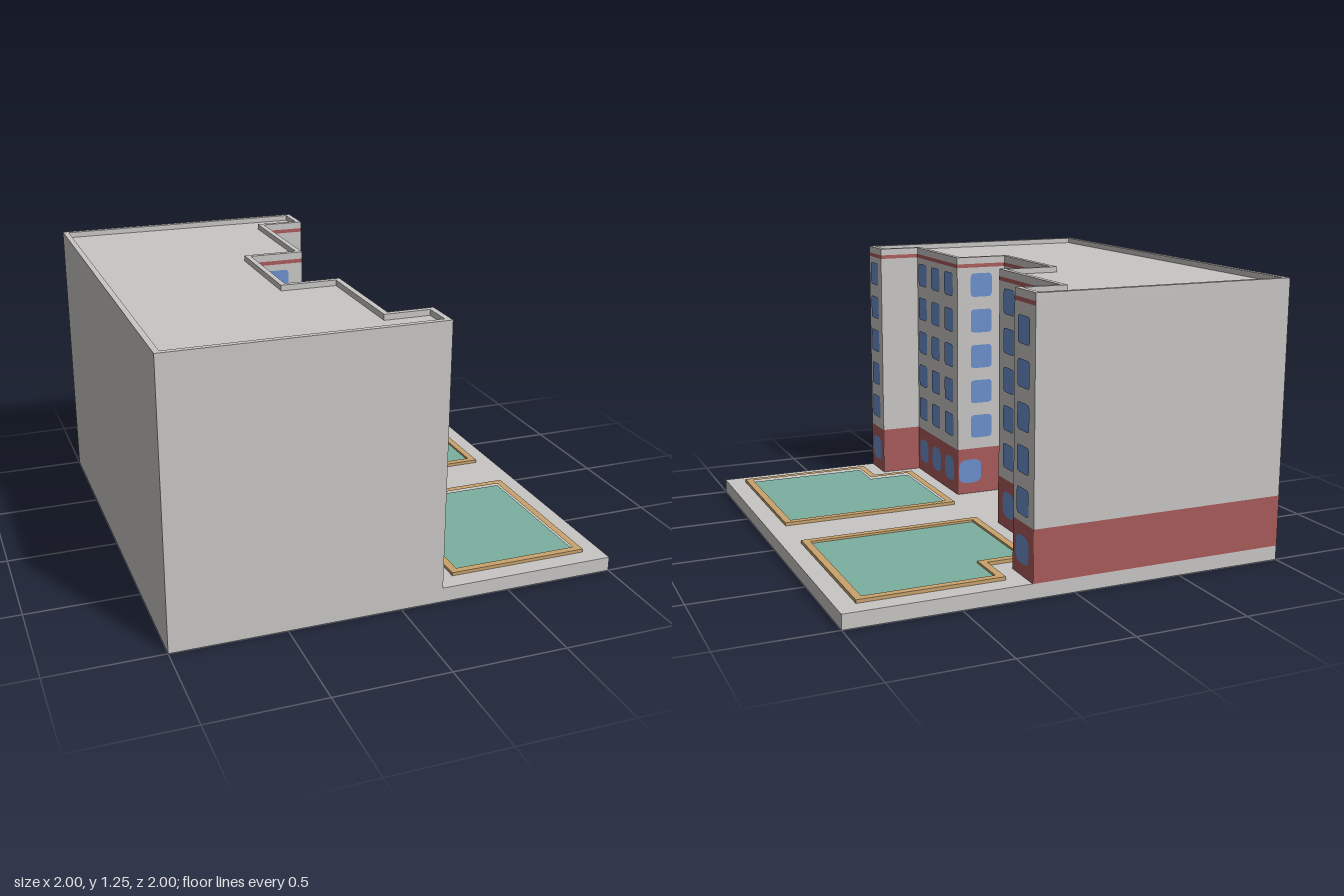
import * as THREE from 'three';

const mat = (name, color) => {
  const m = new THREE.MeshStandardMaterial({ color });
  m.name = name;
  return m;
};

export function createModel() {
  const wall = mat('concrete grey', 0xc8c6c4);
  const red = mat('brick red', 0xa95a5a);
  const blue = mat('window blue', 0x6a8fcb);
  const teal = mat('lawn teal', 0x7cb0a0);
  const tan = mat('kerb tan', 0xc8a26c);

  const model = new THREE.Group();
  model.name = 'courtyardBuilding';
  const add = (parent, name, geometry, material) => {
    const mesh = new THREE.Mesh(geometry, material);
    mesh.name = name;
    parent.add(mesh);
    return mesh;
  };

  // Floor-plan outline [x, z] raised from y0 to y1, with an optional hole
  const vectors = (pts) => pts.map(([x, z]) => new THREE.Vector2(x, -z));
  const prism = (pts, y0, y1, hole) => {
    const shape = new THREE.Shape(vectors(pts));
    if (hole) shape.holes.push(new THREE.Path(vectors(hole)));
    return new THREE.ExtrudeGeometry(shape, { depth: y1 - y0, bevelEnabled: false })
      .rotateX(-Math.PI / 2).translate(0, y0, 0);
  };

  // Stepped plan, inset by t for the inner edge of the parapet
  const plan = (t) => [
    [-1 + t, 1 - t], [0.19 - t, 1 - t], [0.19 - t, 0.815 + t], [-0.01 - t, 0.815 + t],
    [-0.01 - t, 0.275 + t], [-0.26 - t, 0.275 + t], [-0.26 - t, -0.217 - t], [-0.01 - t, -0.217 - t],
    [-0.01 - t, -0.807 - t], [0.19 - t, -0.807 - t], [0.19 - t, -1 + t], [-1 + t, -1 + t],
  ];
  const base = 0.065, bandTop = 0.295, roof = 1.225, top = 1.25;

  add(model, 'groundSlab', new THREE.BoxGeometry(2, base, 2).translate(0, base / 2, 0), wall);
  add(model, 'buildingBody', prism(plan(0), base, roof), wall);
  add(model, 'parapet', prism(plan(0), roof, top, plan(0.025)), wall);

  // Puts a flat panel, drawn facing +z, onto a wall facing 'x', 'z' or '-z'
  const turn = { x: Math.PI / 2, z: 0, '-z': Math.PI };
  const mount = (parent, name, geometry, material, facing, x, y, z, gap) => {
    const mesh = add(parent, name, geometry, material);
    mesh.rotation.y = turn[facing];
    mesh.position.set(x, y, z);
    mesh.translateZ(gap);
  };
  const strip = (name, facing, x, z, width, y0, y1) =>
    mount(model, name, new THREE.PlaneGeometry(width, y1 - y0), red, facing, x, (y0 + y1) / 2, z, 0.002);

  // Red ground-floor band and cornice line along the stepped facade
  const outline = plan(0);
  for (let i = 1; i < 10; i++) {
    const [x0, z0] = outline[i], [x1, z1] = outline[i + 1];
    const facing = x0 === x1 ? 'x' : i < 5 ? '-z' : 'z';
    const x = (x0 + x1) / 2, z = (z0 + z1) / 2;
    const width = Math.abs(x1 - x0) + Math.abs(z1 - z0);
    strip('corniceLine', facing, x, z, width, 1.2, 1.218);
    if (i === 5) {
      // the band is interrupted by the entrance
      for (const [a, b] of [[0.275, 0.085], [-0.048, -0.217]])
        strip('groundFloorBand', facing, x, (a + b) / 2, a - b, base, bandTop);
    } else strip('groundFloorBand', facing, x, z, width, base, bandTop);
  }
  strip('rearBand', '-z', -0.405, -1, 1.19, base, bandTop);

  // Rounded window panes
  const pane = (w, h, r) => {
    const s = new THREE.Shape();
    const a = w / 2, b = h / 2;
    s.moveTo(-a + r, -b).lineTo(a - r, -b).quadraticCurveTo(a, -b, a, -b + r)
      .lineTo(a, b - r).quadraticCurveTo(a, b, a - r, b)
      .lineTo(-a + r, b).quadraticCurveTo(-a, b, -a, b - r)
      .lineTo(-a, -b + r).quadraticCurveTo(-a, -b, -a + r, -b);
    return new THREE.ShapeGeometry(s, 4);
  };
  const upperPane = pane(0.112, 0.115, 0.02);
  const groundPane = pane(0.12, 0.12, 0.04);
  const windows = new THREE.Group();
  windows.name = 'windows';
  model.add(windows);
  const column = (facing, x, z, y0 = 0.408) => {
    for (let floor = 0; floor < 5; floor++)
      mount(windows, 'upperWindow', upperPane, blue, facing, x, y0 + floor * 0.1765, z, 0.004);
  };
  const groundWindow = (facing, x, z) =>
    mount(windows, 'groundWindow', groundPane, blue, facing, x, 0.18, z, 0.004);

  // Ten regular columns across the facade, the sixth above the entrance
  for (let i = 0; i < 10; i++) {
    const z = 0.91 - i * 0.177;
    const x = z > 0.815 ? 0.19 : z > 0.275 || z < -0.217 ? -0.01 : -0.26;
    column('x', x, z);
    if (i !== 5) groundWindow('x', x, z - 0.003);
  }
  // Slightly lower column on the end wing
  column('x', 0.19, -0.902, 0.385);
  groundWindow('x', 0.19, -0.9);
  // Returns of the central recess
  for (const [facing, z] of [['z', -0.217], ['-z', 0.275]]) {
    column(facing, -0.135, z);
    groundWindow(facing, -0.075, z);
  }

  // Two notched garden beds with raised kerbs, one on each side of the path
  const bed = (s, near, t) => [
    [0.07 + t, s * (near + t)], [0.915 - t, s * (near + t)], [0.915 - t, s * (0.917 - t)],
    [0.273 + t, s * (0.917 - t)], [0.273 + t, s * (0.73 - t)], [0.07 + t, s * (0.73 - t)],
  ];
  for (const [s, near] of [[1, 0.127], [-1, 0.14]]) {
    add(model, 'bedKerb', prism(bed(s, near, 0), base, 0.08, bed(s, near, 0.033)), tan);
    add(model, 'bedLawn', prism(bed(s, near, 0.033), base, 0.07), teal);
  }
  return model;
}
